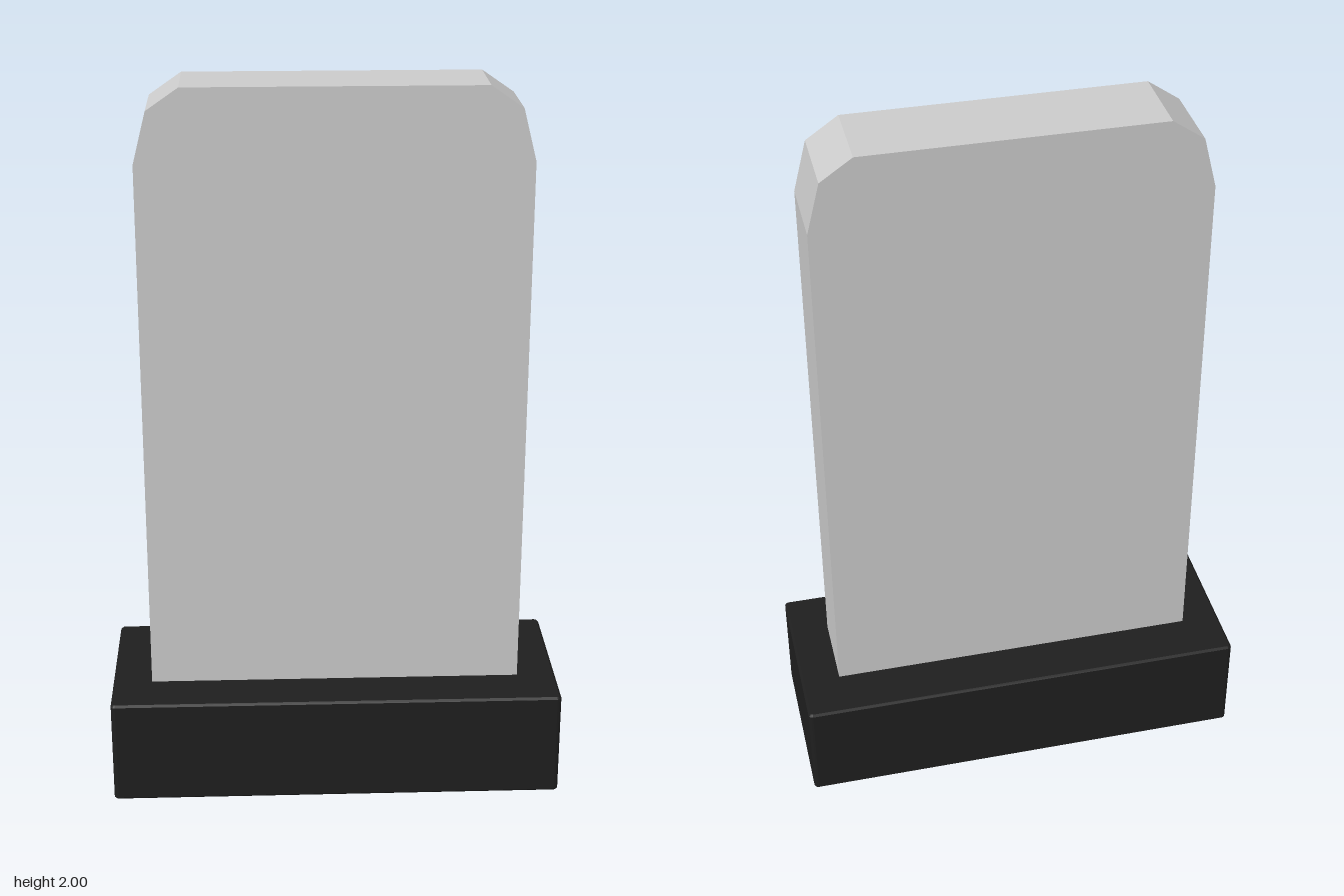
import * as THREE from 'three';

const BASE = { halfX: 0.633, halfZ: 0.25, height: 0.3, radius: 0.012, bevel: 0.006 };

// Rounded rectangle in the xz plane, as [x, z] points
function roundedRect(halfX, halfZ, r, steps = 3) {
  const points = [];
  [[1, 1], [-1, 1], [-1, -1], [1, -1]].forEach(([sx, sz], corner) => {
    for (let i = 0; i <= steps; i++) {
      const a = (corner + i / steps) * Math.PI / 2;
      points.push([sx * (halfX - r) + r * Math.cos(a), sz * (halfZ - r) + r * Math.sin(a)]);
    }
  });
  return points;
}

// Hollow base: stacked outlines, closed at the top and open underneath
function baseGeometry() {
  const { halfX, halfZ, height, radius, bevel } = BASE;
  const sections = [[0, bevel], [bevel, 0], [height - bevel, 0], [height, bevel]];
  const rings = sections.map(([y, inset]) =>
    roundedRect(halfX - inset, halfZ - inset, radius - inset).map(([x, z]) => [x, y, z]));
  const top = [0, height, 0];
  const positions = [];
  rings.forEach((ring, k) => {
    const next = rings[k + 1];
    ring.forEach((a, i) => {
      const j = (i + 1) % ring.length;
      if (next) positions.push(...a, ...next[i], ...next[j], ...a, ...next[j], ...ring[j]);
      else positions.push(...a, ...top, ...ring[j]);
    });
  });
  const geometry = new THREE.BufferGeometry();
  geometry.setAttribute('position', new THREE.Float32BufferAttribute(positions, 3));
  geometry.computeVertexNormals();
  return geometry;
}

// Upright slab with two-step chamfers on its upper corners
function slabGeometry() {
  const thickness = 0.22;
  const side = [[0.523, BASE.height + 0.001], [0.523, 1.8], [0.487, 1.94], [0.4, 2]];
  const outline = [...side, ...side.map(([x, y]) => [-x, y]).reverse()];
  const shape = new THREE.Shape(outline.map(([x, y]) => new THREE.Vector2(x, y)));
  return new THREE.ExtrudeGeometry(shape, { depth: thickness, bevelEnabled: false })
    .translate(0, 0, -thickness / 2);
}

export function createModel() {
  const model = new THREE.Group();
  model.name = 'uprightSlabOnBase';

  const base = new THREE.Mesh(baseGeometry(), new THREE.MeshStandardMaterial({
    color: 0x1f1f1f, flatShading: true, side: THREE.DoubleSide,
  }));
  base.name = 'base';

  const slab = new THREE.Mesh(slabGeometry(), new THREE.MeshStandardMaterial({
    color: 0xcccccc, flatShading: true,
  }));
  slab.name = 'slab';

  model.add(base, slab);
  return model;
}
